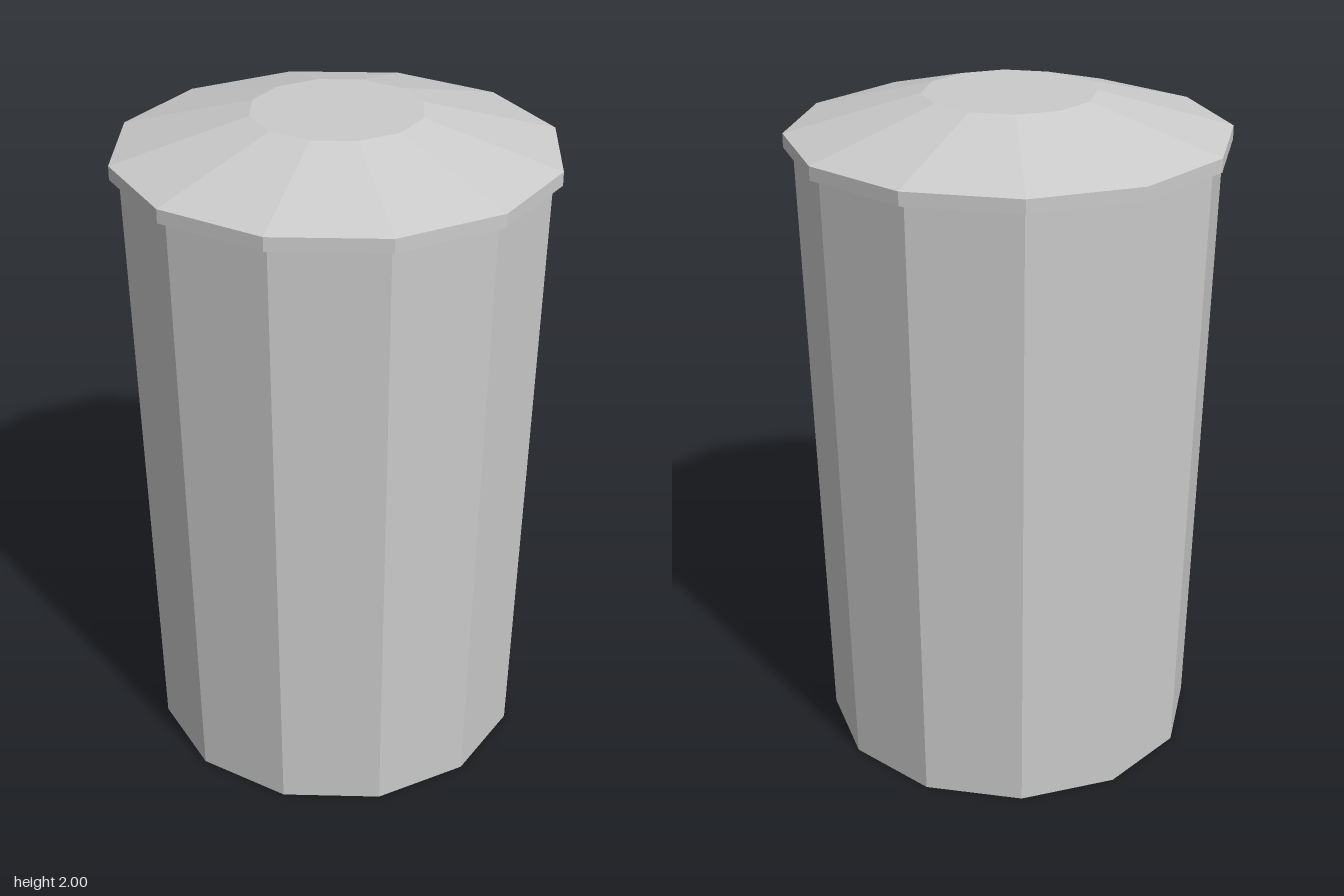
import * as THREE from 'three';

const SIDES = 12;

export function createModel() {
  const group = new THREE.Group();
  const material = new THREE.MeshStandardMaterial({ color: 0xcccccc, flatShading: true });

  // Twelve-sided tapered section standing between two heights
  function section(name, topRadius, bottomRadius, y0, y1, openEnded = false) {
    const geometry = new THREE.CylinderGeometry(topRadius, bottomRadius, y1 - y0, SIDES, 1, openEnded);
    geometry.translate(0, (y0 + y1) / 2, 0);
    const mesh = new THREE.Mesh(geometry, material);
    mesh.name = name;
    return mesh;
  }

  // Tapered bin body, closed at the bottom
  group.add(section('body', 0.613, 0.563, 0, 1.85));

  // Lid: one closed profile with flat underside, upright rim, sloped crown and flat top
  const profile = [[0, 1.85], [0.64, 1.85], [0.64, 1.89], [0.248, 2], [0, 2]]
    .map(([r, y]) => new THREE.Vector2(r, y));
  const lid = new THREE.Mesh(new THREE.LatheGeometry(profile, SIDES), material);
  lid.name = 'lid';
  group.add(lid);

  return group;
}
